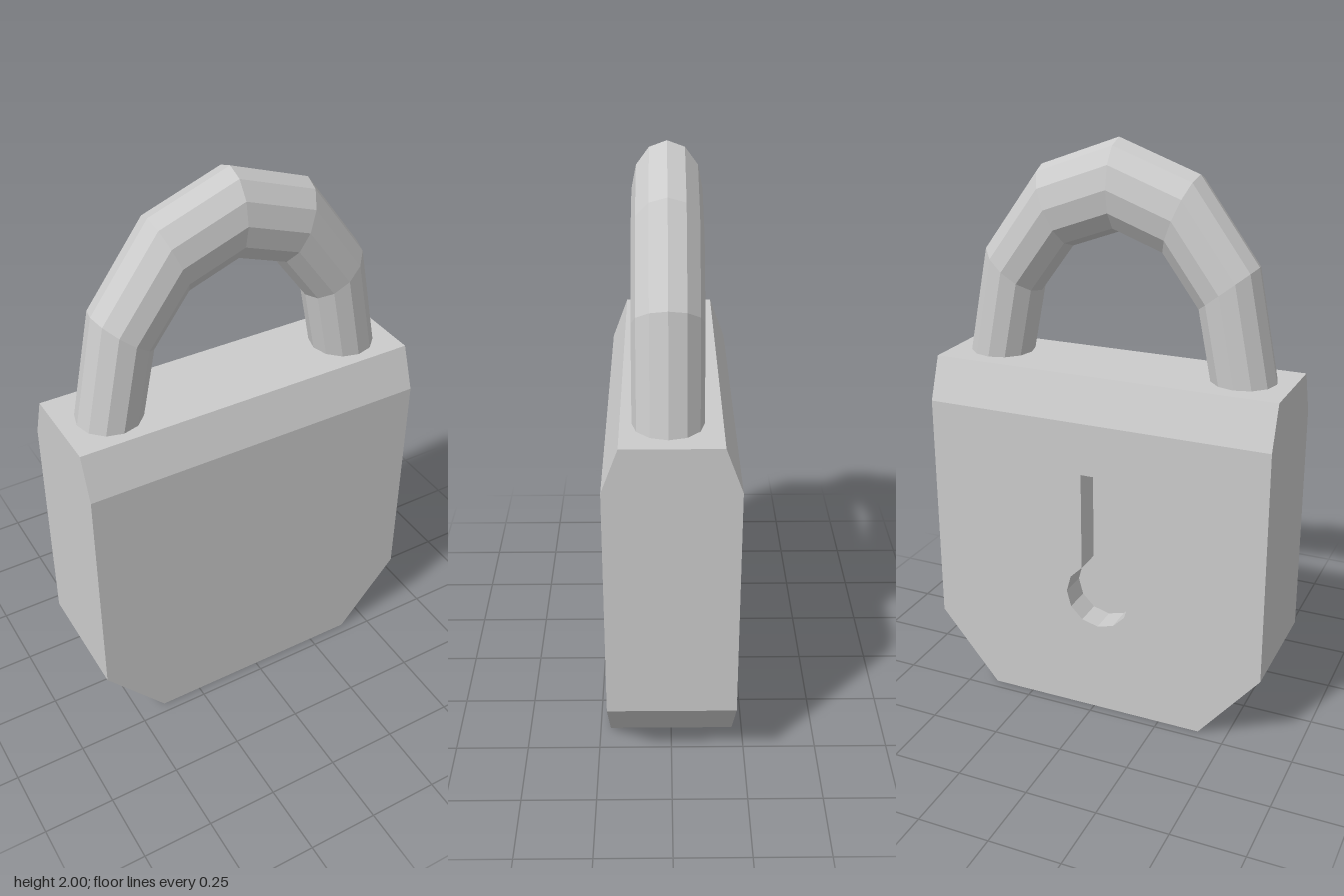
import * as THREE from 'three';

const W = 0.617, D = 0.215, TOP = 1.24, BEVEL_Y = 1.09, BEVEL_Z = 0.16;
const material = new THREE.MeshStandardMaterial({ color: 0xcccccc, flatShading: true });

function part(name, geometry) {
  const mesh = new THREE.Mesh(geometry, material);
  mesh.name = name;
  return mesh;
}

// Quads joining two matching rows of [x, y, z] points
function strip(a, b, closed = false) {
  const pos = [];
  const n = closed ? a.length : a.length - 1;
  for (let i = 0; i < n; i++) {
    const j = (i + 1) % a.length;
    for (const p of [a[i], a[j], b[j], a[i], b[j], b[i]]) pos.push(...p);
  }
  const g = new THREE.BufferGeometry();
  g.setAttribute('position', new THREE.Float32BufferAttribute(pos, 3));
  g.computeVertexNormals();
  return g;
}

const toShape = (points) => new THREE.Shape(points.map(([x, y]) => new THREE.Vector2(x, y)));
const atZ = (points, z) => points.map(([x, y]) => [x, y, z]);

// Keyhole outline: a 12-sided round with a slot rising from it
function keyholeOutline(cx, cy, r, slotTop) {
  const half = r / 2;
  const points = [[cx - half, slotTop]];
  for (let deg = 120; deg <= 420; deg += 30) {
    const a = THREE.MathUtils.degToRad(deg);
    points.push([cx + r * Math.cos(a), cy + r * Math.sin(a)]);
  }
  points.push([cx + half, slotTop]);
  return points;
}

function createBody() {
  const body = new THREE.Group();
  body.name = 'body';

  // Face outline, cut at the lower corners
  const face = [[-0.4, 0], [0.4, 0], [W, 0.26], [W, BEVEL_Y], [-W, BEVEL_Y], [-W, 0.26]];

  // Rim around the body, narrowing in depth at the top
  const rim = [[-0.4, 0, D], [0.4, 0, D], [W, 0.26, D], [W, BEVEL_Y, D],
    [W, TOP, BEVEL_Z], [-W, TOP, BEVEL_Z], [-W, BEVEL_Y, D], [-W, 0.26, D]];
  body.add(part('rim', strip(rim.map(([x, y, z]) => [x, y, -z]), rim, true)));

  // Front face, and the sloped bevel above both faces
  body.add(part('frontFace', new THREE.ShapeGeometry(toShape(face)).translate(0, 0, D)));
  const bevel = strip([[-W, BEVEL_Y, D], [W, BEVEL_Y, D]], [[-W, TOP, BEVEL_Z], [W, TOP, BEVEL_Z]]);
  body.add(part('frontBevel', bevel));
  body.add(part('backBevel', bevel.clone().rotateY(Math.PI)));

  // Back face with a recessed keyhole
  const keyhole = keyholeOutline(0.015, 0.45, 0.118, 0.905);
  const floorZ = D - 0.1;
  const back = toShape(face);
  back.holes.push(toShape(keyhole));
  body.add(part('backFace', new THREE.ShapeGeometry(back).translate(0, 0, D).rotateY(Math.PI)));
  body.add(part('keyholeWalls', strip(atZ(keyhole, D), atZ(keyhole, floorZ), true).rotateY(Math.PI)));
  body.add(part('keyholeFloor',
    new THREE.ShapeGeometry(toShape(keyhole)).translate(0, 0, floorZ).rotateY(Math.PI)));
  return body;
}

export function createModel() {
  const model = new THREE.Group();
  model.name = 'padlock';
  model.add(createBody());

  // Shackle: a half ring stretched upwards
  const shackle = new THREE.TorusGeometry(0.4475, 0.1125, 12, 6, Math.PI);
  shackle.scale(1, 1.357, 1).translate(0, TOP, 0.01);
  model.add(part('shackle', shackle));
  return model;
}
